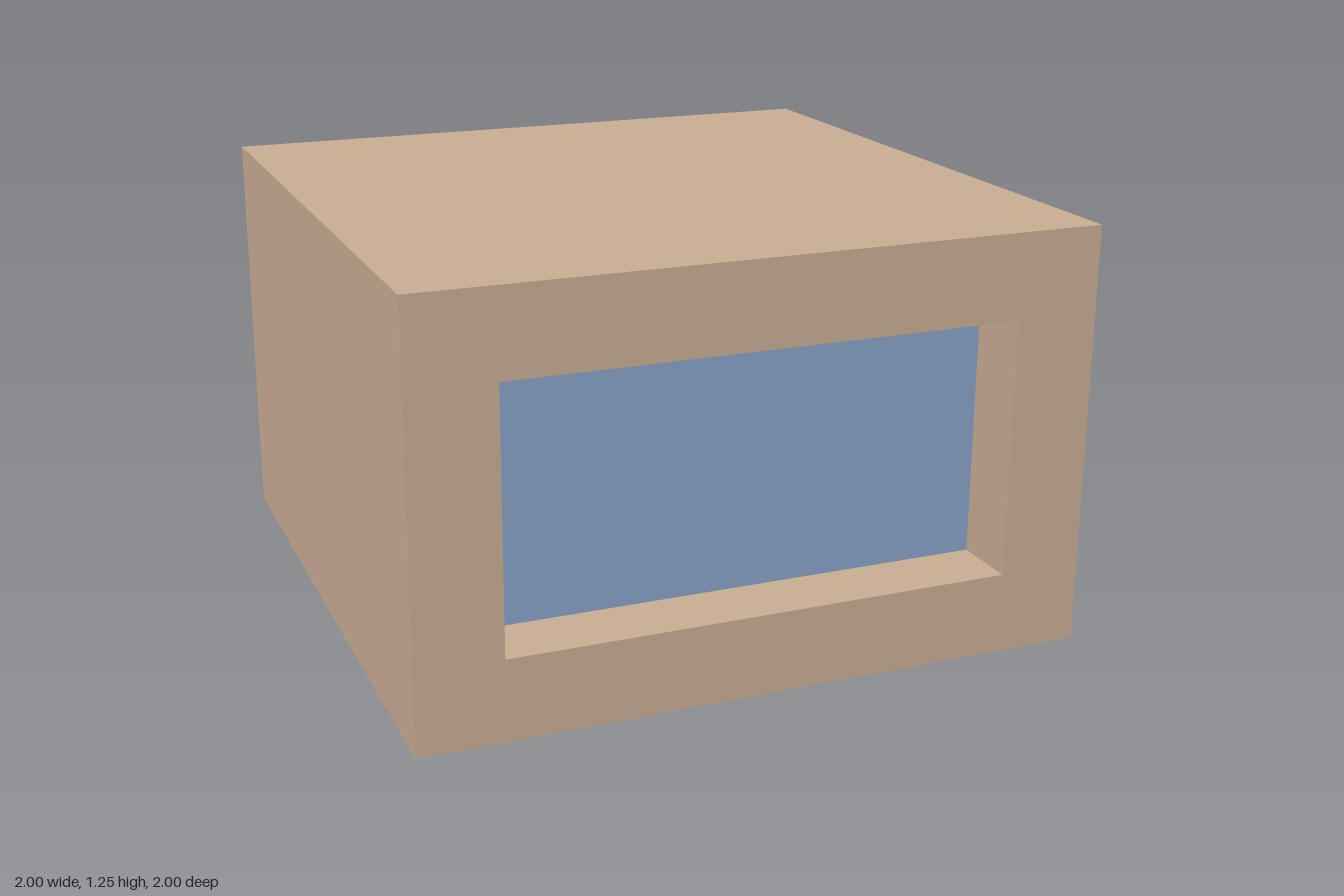
import * as THREE from 'three';

const W = 2, H = 1.25, D = 2;                                   // outer block
const HOLE = { x: 0.75, bottom: 0.24, top: 1.0, depth: 0.2 };   // window opening

// Remove one side of a box (0..5 = +x, -x, +y, -y, +z, -z)
function withoutSide(box, side) {
  const index = Array.from(box.getIndex().array);
  index.splice(side * 6, 6);
  box.setIndex(index);
  box.clearGroups();
  return box;
}

export function createModel() {
  const wall = new THREE.MeshStandardMaterial({ name: 'tanWall', color: 0xc9ae93 });
  const glass = new THREE.MeshStandardMaterial({ name: 'blueGlass', color: 0x88a3c9 });
  const model = new THREE.Group();
  model.name = 'windowBlock';

  const add = (name, geometry, material, x, y, z) => {
    const mesh = new THREE.Mesh(geometry, material);
    mesh.name = name;
    mesh.position.set(x, y, z);
    model.add(mesh);
  };

  // Sides, roof, floor and back
  add('body', withoutSide(new THREE.BoxGeometry(W, H, D), 4), wall, 0, H / 2, 0);

  // Front wall with the window opening
  const front = new THREE.Shape([
    new THREE.Vector2(-W / 2, 0), new THREE.Vector2(W / 2, 0),
    new THREE.Vector2(W / 2, H), new THREE.Vector2(-W / 2, H),
  ]);
  front.holes.push(new THREE.Path([
    new THREE.Vector2(-HOLE.x, HOLE.bottom), new THREE.Vector2(-HOLE.x, HOLE.top),
    new THREE.Vector2(HOLE.x, HOLE.top), new THREE.Vector2(HOLE.x, HOLE.bottom),
  ]));
  add('frontWall', new THREE.ShapeGeometry(front), wall, 0, 0, D / 2);

  // Window reveal: a box turned inside out, left open at front and back
  const w = HOLE.x * 2, h = HOLE.top - HOLE.bottom, midY = (HOLE.top + HOLE.bottom) / 2;
  const reveal = withoutSide(withoutSide(new THREE.BoxGeometry(w, h, HOLE.depth), 5), 4);
  reveal.scale(-1, -1, -1);
  reveal.computeVertexNormals();
  add('windowReveal', reveal, wall, 0, midY, D / 2 - HOLE.depth / 2);

  // Recessed pane
  add('windowPane', new THREE.PlaneGeometry(w, h), glass, 0, midY, D / 2 - HOLE.depth);

  return model;
}
